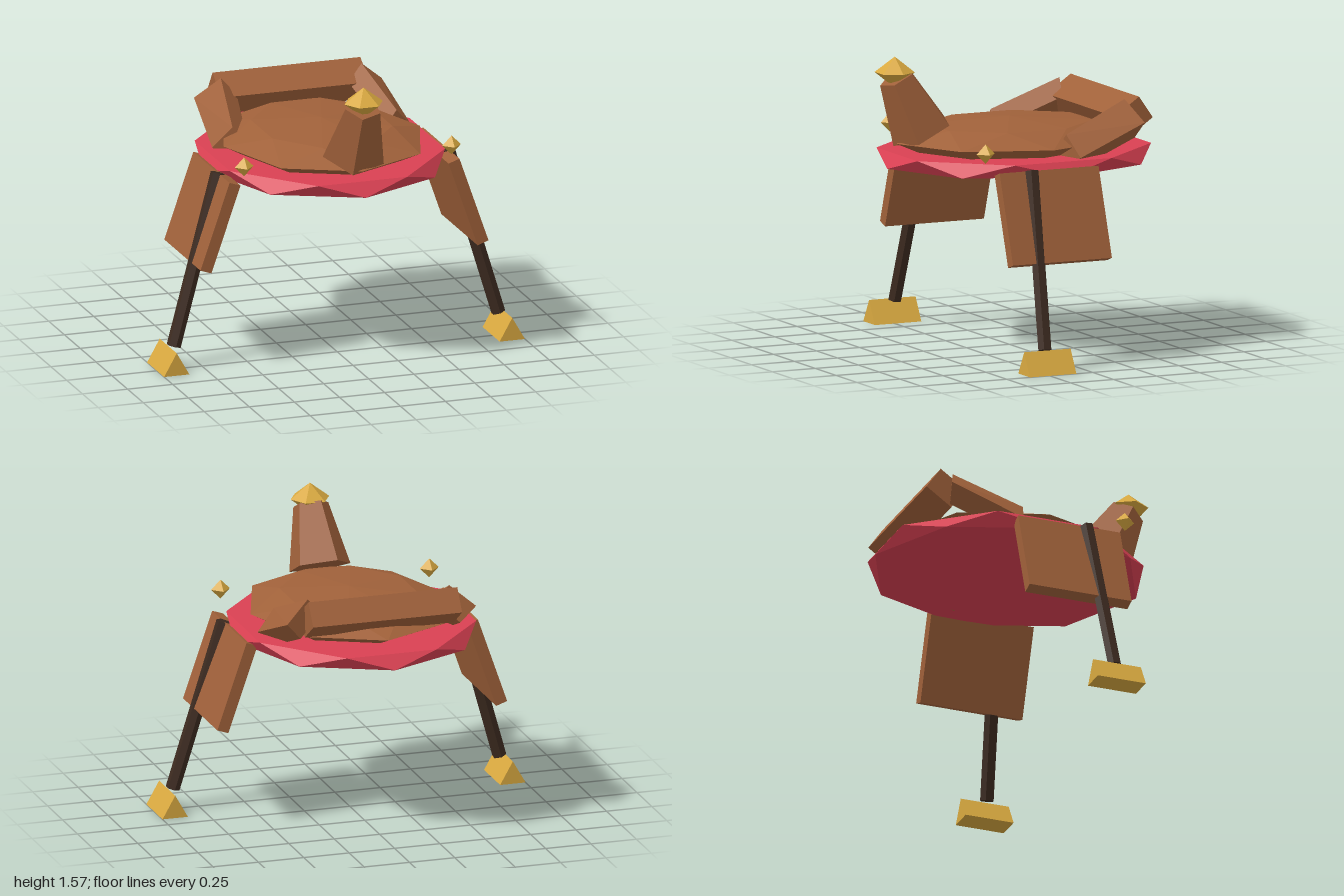
import * as THREE from 'three';
import { ConvexGeometry } from 'three/addons/geometries/ConvexGeometry.js';

const mat = (name, color) => {
  const m = new THREE.MeshStandardMaterial({ color, flatShading: true });
  m.name = name;
  return m;
};
const V = (x, y, z) => new THREE.Vector3(x, y, z);

// Points round an ellipse at one height
function ring(n, rx, rz, y, zc, turn = 0) {
  return Array.from({ length: n }, (_, i) => {
    const a = ((i + turn) / n) * Math.PI * 2;
    return V(rx * Math.sin(a), y, zc + rz * Math.cos(a));
  });
}

export function createModel() {
  const leather = mat('brown leather', 0xa0613a);
  const strap = mat('dark strap leather', 0x3d2b20);
  const cloth = mat('red cloth', 0xd94052);
  const brass = mat('brass', 0xd9a940);
  const group = new THREE.Group();
  group.name = 'saddle';

  const add = (name, geometry, material, x = 0, y = 0, z = 0) => {
    const m = new THREE.Mesh(geometry, material);
    m.name = name;
    m.position.set(x, y, z);
    group.add(m);
    return m;
  };
  // Point a mesh's y axis from a to b and centre it between them
  const span = (mesh, a, b) => {
    mesh.position.copy(a).add(b).multiplyScalar(0.5);
    mesh.quaternion.setFromUnitVectors(V(0, 1, 0), b.clone().sub(a).normalize());
    return mesh;
  };

  // Blanket: the rim zigzags between a low and a high octagon
  add('blanket', new ConvexGeometry([
    ...ring(8, 0.645, 0.735, 0.982, -0.025),
    ...ring(8, 0.645, 0.735, 1.055, -0.025, 0.5),
    V(0, 0.952, -0.1),
  ]), cloth);

  // Seat: faceted cushion
  add('seat', new ConvexGeometry([
    ...ring(8, 0.44, 0.52, 1.055, 0.01),
    ...ring(8, 0.545, 0.65, 1.11, 0.005),
    ...ring(8, 0.36, 0.45, 1.182, 0, 0.5),
    V(0, 1.213, 0),
  ]), leather);

  // Horn and its knob
  const hornBase = V(0, 1.165, 0.505), hornTop = V(0, 1.462, 0.655);
  span(add('horn', new THREE.CylinderGeometry(0.097, 0.17, hornBase.distanceTo(hornTop), 5, 1, false, -Math.PI / 2), leather),
    hornBase, hornTop);
  const knob = add('hornKnob', new THREE.SphereGeometry(0.106, 6, 2), brass, 0, 1.492, 0.667);
  knob.scale.y = 0.78;

  // Cantle: tilted back rest
  const cantle = add('cantle', new THREE.BoxGeometry(0.82, 0.14, 0.17), leather, 0, 1.229, -0.525);
  cantle.rotation.x = 0.607;

  // Stirrup section
  const triangle = new THREE.Shape([
    new THREE.Vector2(-0.07, 0), new THREE.Vector2(0.07, 0), new THREE.Vector2(0, 0.123),
  ]);
  const stirrupGeo = new THREE.ExtrudeGeometry(triangle, { depth: 0.27, bevelEnabled: false });

  for (const s of [1, -1]) {
    const side = s > 0 ? 'left' : 'right';

    // Arm joining seat and cantle, rolled outward
    const outer = [
      V(0.555, 1.06, -0.145), V(0.52, 1.215, -0.535),
      V(0.455, 1.172, -0.11), V(0.39, 1.325, -0.48),
    ];
    const inner = outer.map((p) => p.clone().add(V(-0.08, -0.09, 0.02)));
    const corners = [...outer, ...inner].map((p) => V(p.x * s, p.y, p.z));
    add(side + 'Arm', new ConvexGeometry(corners), leather);

    // Hanging flap
    const flapTop = V(0.607 * s, 1.017, 0.078), flapLow = V(0.768 * s, 0.552, 0.078);
    span(add(side + 'Flap', new THREE.BoxGeometry(0.064, flapTop.distanceTo(flapLow), 0.575), leather),
      flapLow, flapTop);

    // Stirrup strap
    const strapTop = V(0.637 * s, 1.028, 0.178), strapLow = V(0.9 * s, 0.12, 0.23);
    span(add(side + 'Strap', new THREE.CylinderGeometry(0.038, 0.038, strapTop.distanceTo(strapLow), 6), strap),
      strapLow, strapTop);

    add(side + 'Stirrup', stirrupGeo, brass, 0.93 * s, 0, 0.095);
    add(side + 'Stud', new THREE.OctahedronGeometry(0.052), brass, 0.575 * s, 1.125, 0.417);
  }
  return group;
}
